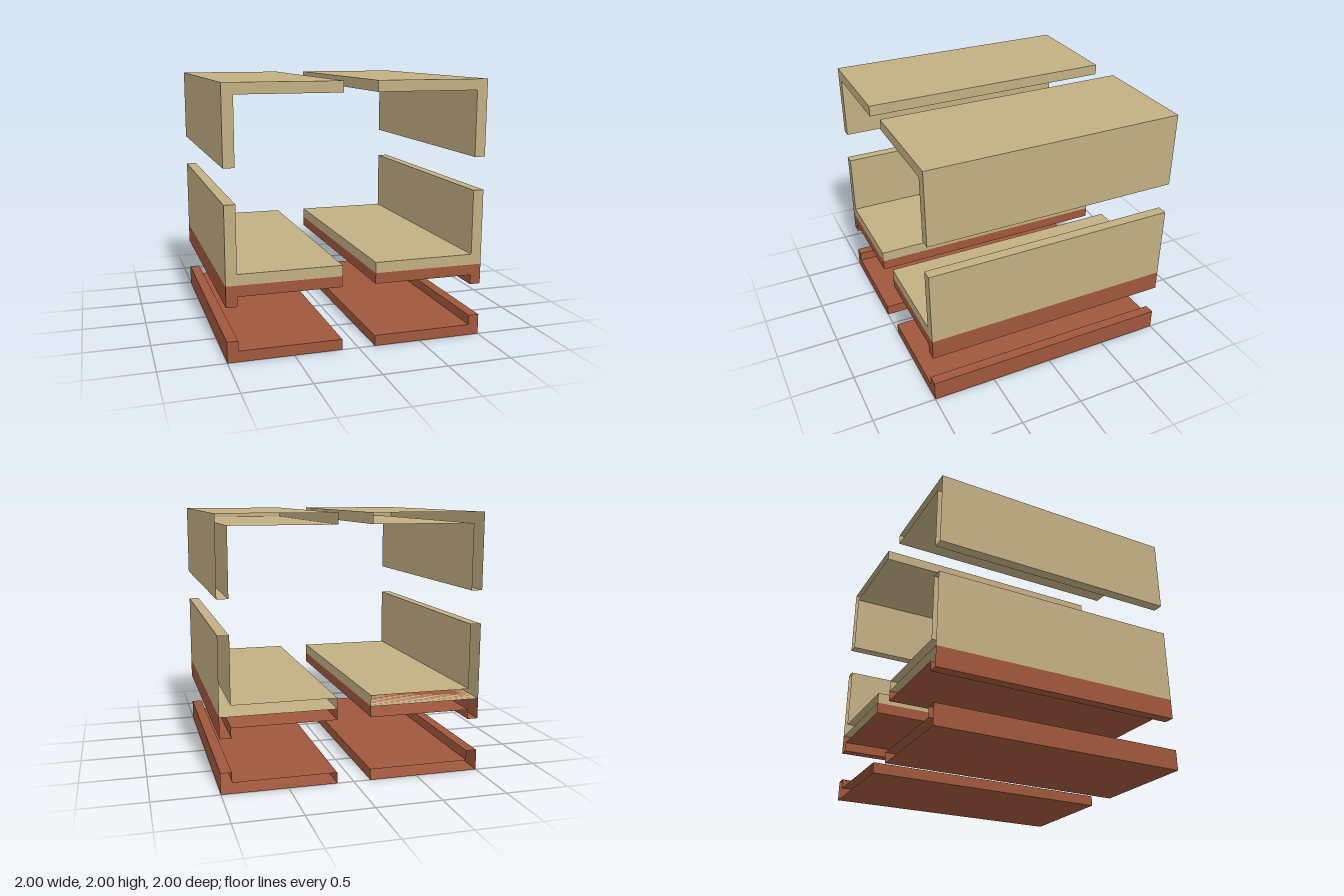
import * as THREE from 'three';

const tan = new THREE.MeshStandardMaterial({ color: 0xc2af83, side: THREE.DoubleSide });
const red = new THREE.MeshStandardMaterial({ color: 0xa0573d, side: THREE.DoubleSide });

const INNER = 0.13, OUTER = 1, WALL = 0.083, LENGTH = 2;

// L-shaped corner rail along z: a flat plate with a lip at its outer edge.
// Hollow: closed at the front, open at the back.
function cornerRail(side, plateY, lipY) {
  const dir = Math.sign(lipY - plateY);
  const inside = plateY + dir * WALL;
  const points = [
    [INNER, plateY], [OUTER, plateY], [OUTER, lipY],
    [OUTER - WALL, lipY], [OUTER - WALL, inside], [INNER, inside],
  ].map(([x, y]) => new THREE.Vector2(side * x, y));

  const geometry = new THREE.ExtrudeGeometry(new THREE.Shape(points), { depth: LENGTH, bevelEnabled: false });
  geometry.translate(0, 0, -LENGTH / 2);

  // Drop the back cap, which comes first in the vertex list
  const capVertices = (points.length - 2) * 3;
  for (const name of ['position', 'normal', 'uv']) {
    const { array, itemSize } = geometry.getAttribute(name);
    geometry.setAttribute(name, new THREE.BufferAttribute(array.slice(capVertices * itemSize), itemSize));
  }
  geometry.clearGroups();
  return geometry;
}

export function createModel() {
  const model = new THREE.Group();
  model.name = 'cornerRails';

  // Two stacked frames, each with a top and a bottom pair of rails
  const rails = [
    ['upperFrameTop', tan, 2, 1.416],
    ['upperFrameBottom', tan, 0.574, 1.16],
    ['lowerFrameTop', red, 0.574, 0.416],
    ['lowerFrameBottom', red, 0, 0.16],
  ];
  for (const [name, material, plateY, lipY] of rails) {
    for (const side of [-1, 1]) {
      const rail = new THREE.Mesh(cornerRail(side, plateY, lipY), material);
      rail.name = name + (side > 0 ? 'LeftRail' : 'RightRail');
      model.add(rail);
    }
  }
  return model;
}
